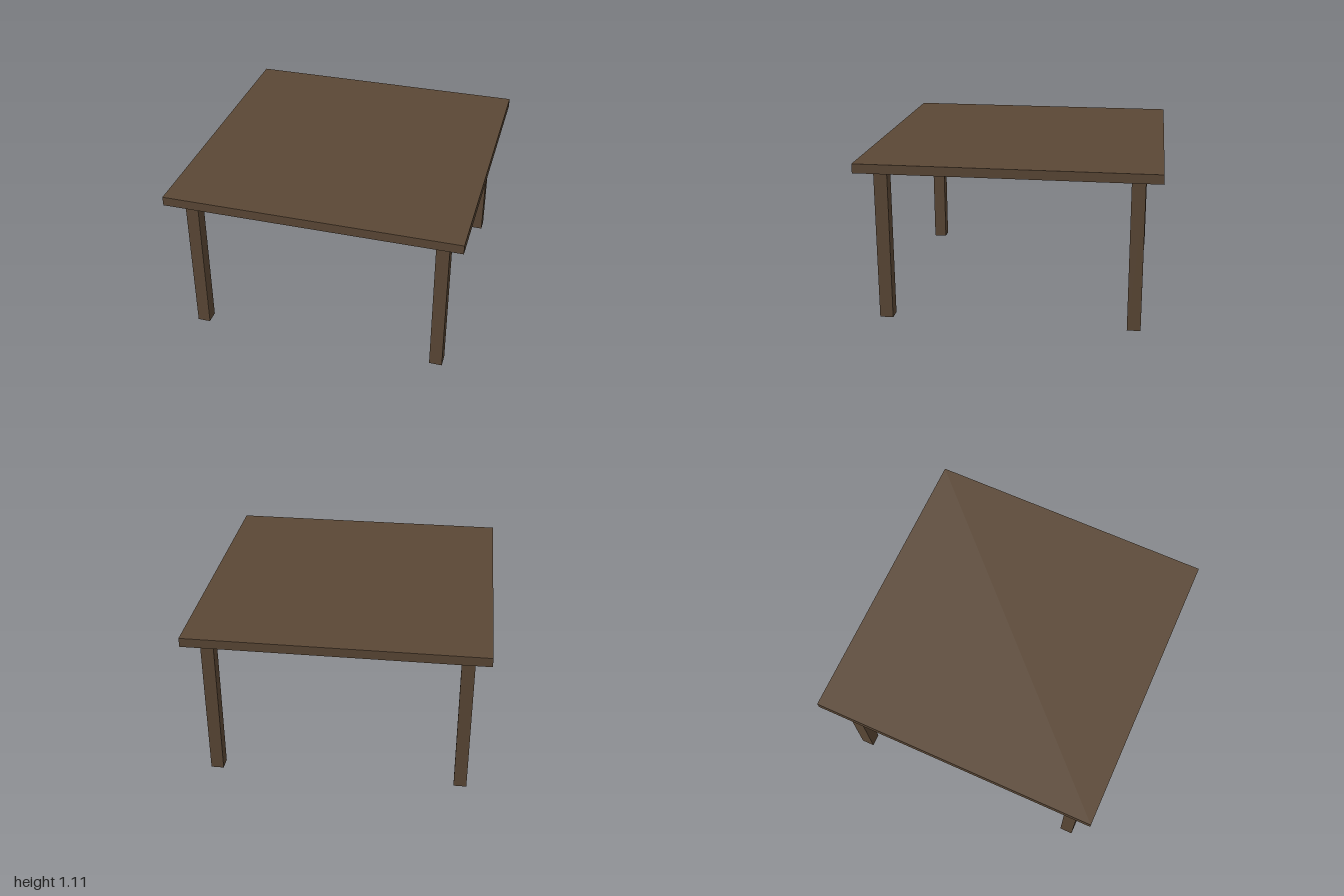
import * as THREE from 'three';

export function createModel() {
  const group = new THREE.Group();
  group.name = 'table';
  const wood = new THREE.MeshStandardMaterial({ color: 0x5a4735 });
  wood.name = 'dark wood';

  const topY = 1.11, underY = 1.047;

  const addBox = (name, w, h, d, x, y, z) => {
    const mesh = new THREE.Mesh(new THREE.BoxGeometry(w, h, d), wood);
    mesh.name = name;
    mesh.position.set(x, y, z);
    group.add(mesh);
  };

  // Square slab
  addBox('tableTop', 2, topY - underY, 2, 0, (topY + underY) / 2, 0);

  // Four square legs, set in from the corners
  for (const [side, sx] of [['Left', 1], ['Right', -1]]) {
    for (const [end, sz] of [['front', 1], ['back', -1]]) {
      addBox(`${end}${side}Leg`, 0.088, underY, 0.091, sx * 0.853, underY / 2, sz * 0.844);
    }
  }

  return group;
}
